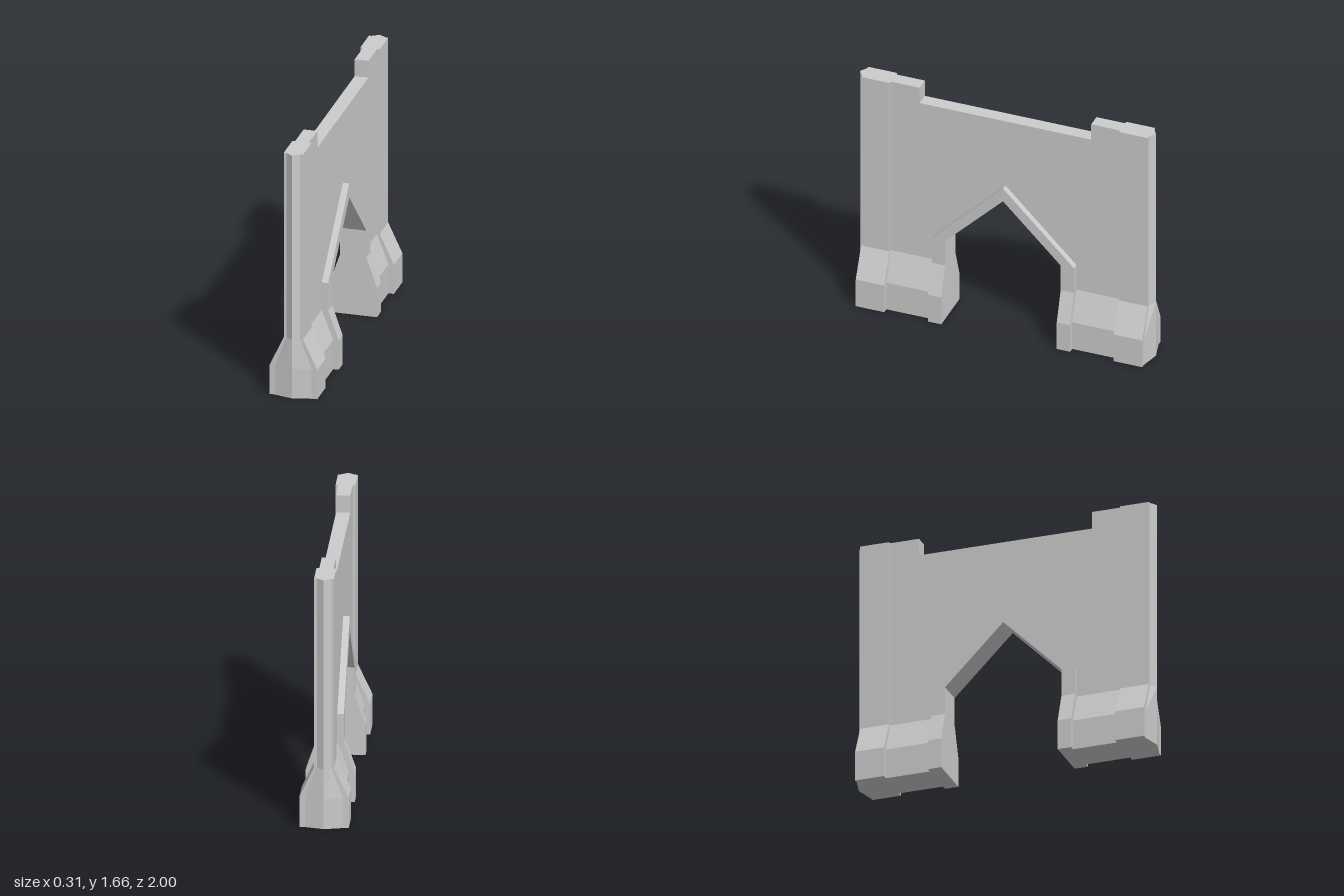
import * as THREE from 'three';

const BASE = 0.2, SHOULDER = 0.4, PARAPET = 1.55, TOP = 1.665;
const material = new THREE.MeshStandardMaterial({ color: 0xcccccc, flatShading: true });

function addMesh(parent, name, geometry) {
  const mesh = new THREE.Mesh(geometry, material);
  mesh.name = name;
  parent.add(mesh);
}

// Upright block from z0 to z1 (with an optional pointed nose), its half width set per level [y, w]
function loft(levels, z0, z1, nose = 0, capped = true) {
  const rings = levels.map(([y, w]) => {
    const ring = [[-w, z1], [w, z1], [w, z0], [-w, z0]];
    if (nose) ring.splice(1, 0, [0, nose]);
    return ring.map(([x, z]) => [x, y, z]);
  });
  const pos = [], n = rings[0].length;
  for (let r = 0; r < rings.length - 1; r++) {
    const lo = rings[r], hi = rings[r + 1];
    for (let i = 0; i < n; i++) {
      const j = (i + 1) % n;
      pos.push(...lo[i], ...lo[j], ...hi[j], ...lo[i], ...hi[j], ...hi[i]);
    }
  }
  const bottom = rings[0], top = rings[rings.length - 1];
  for (let i = 1; i < n - 1; i++) {
    pos.push(...bottom[0], ...bottom[i + 1], ...bottom[i]);
    if (capped) pos.push(...top[0], ...top[i], ...top[i + 1]);
  }
  const geometry = new THREE.BufferGeometry();
  geometry.setAttribute('position', new THREE.Float32BufferAttribute(pos, 3));
  geometry.computeVertexNormals();
  return geometry;
}

// Side profile of [z, y] points, mirrored across z = 0 and given a thickness along x
function slab(half, halfWidth) {
  const mirrored = half.filter(([z]) => z > 0).map(([z, y]) => [-z, y]).reverse();
  const points = [...half, ...mirrored].map(([z, y]) => new THREE.Vector2(z, y));
  const geometry = new THREE.ExtrudeGeometry(new THREE.Shape(points), { depth: 2 * halfWidth, bevelEnabled: false });
  return geometry.translate(0, 0, -halfWidth).rotateY(Math.PI / 2);
}

export function createModel() {
  const model = new THREE.Group();
  model.name = 'archedWall';

  // Wall panel over the pointed opening
  addMesh(model, 'wallPanel', slab(
    [[0, 1.02], [0.44, 0.58], [0.44, SHOULDER], [0.58, SHOULDER], [0.58, PARAPET]], 0.045));

  // Raised arch trim: outer edge down, inner edge back up
  const arch = new THREE.Shape([
    [-0.48, SHOULDER], [-0.48, 0.585], [0, 1.07], [0.48, 0.585], [0.48, SHOULDER],
    [0.39, SHOULDER], [0.39, 0.585], [0, 0.975], [-0.39, 0.585], [-0.39, SHOULDER],
  ].map(([z, y]) => new THREE.Vector2(z, y)));
  addMesh(model, 'archTrim', new THREE.ExtrudeGeometry(arch, { depth: 0.174, bevelEnabled: false })
    .translate(0, 0, -0.087).rotateY(Math.PI / 2));

  // Flared leg, pier and trim foot, repeated at both ends
  for (const end of ['front', 'back']) {
    const side = new THREE.Group();
    side.name = end + 'End';
    side.rotation.y = end === 'front' ? 0 : Math.PI;
    const flare = (foot, shaft) => [[0, foot], [BASE, foot], [SHOULDER, shaft]];
    addMesh(side, end + 'WallFoot', loft(flare(0.12, 0.045), 0.44, 0.58, 0, false));
    addMesh(side, end + 'WallEnd', loft([...flare(0.12, 0.045), [TOP, 0.045]], 0.58, 0.97, 1));
    addMesh(side, end + 'Pier', loft([...flare(0.156, 0.063), [TOP, 0.063]], 0.775, 0.968));
    addMesh(side, end + 'TrimFoot', loft(flare(0.156, 0.087), 0.39, 0.48, 0, false));
    model.add(side);
  }
  return model;
}
